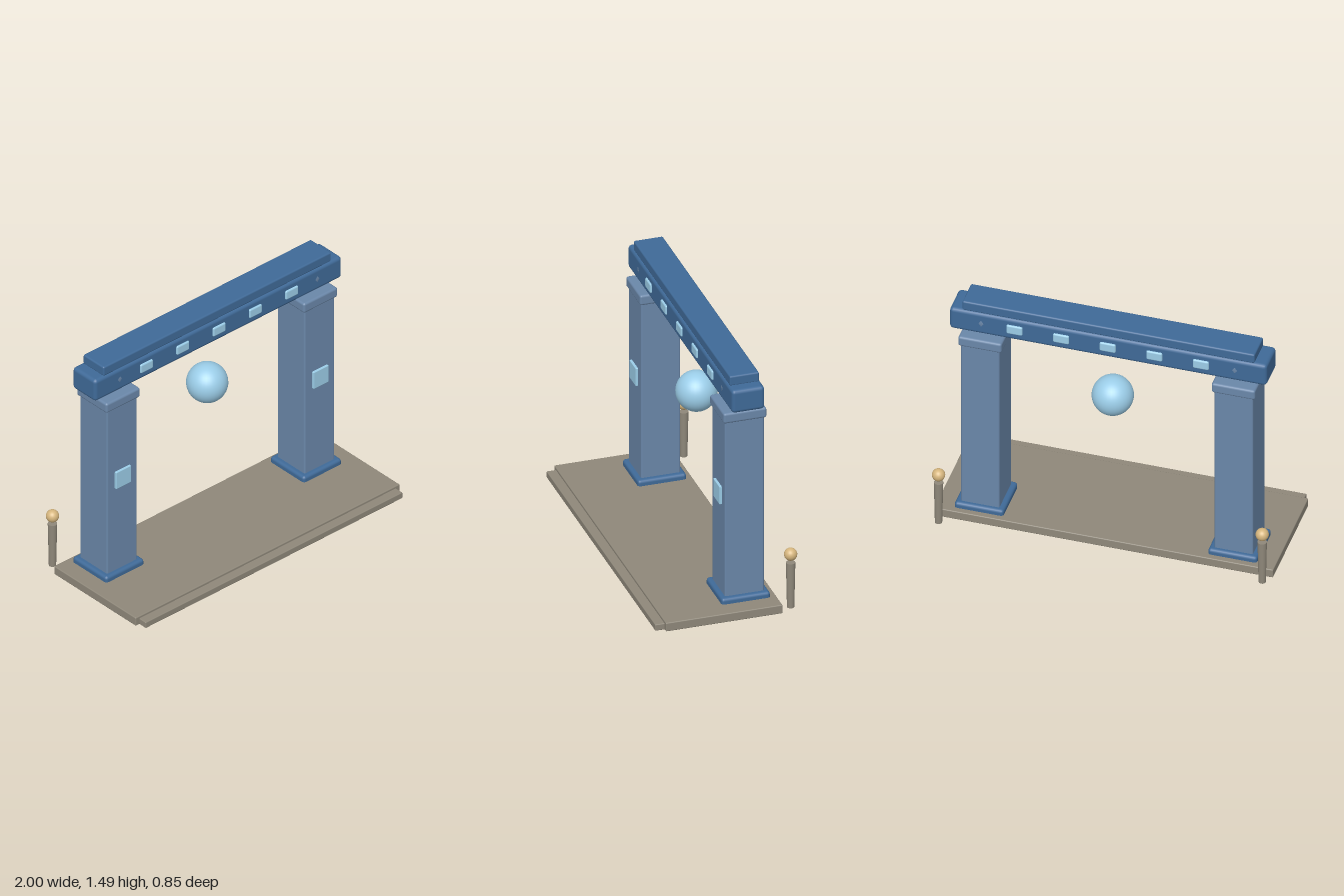
import * as THREE from 'three';
import { RoundedBoxGeometry } from 'three/addons/geometries/RoundedBoxGeometry.js';

const paint = (color) => new THREE.MeshStandardMaterial({ color });

export function createModel() {
  const model = new THREE.Group();
  const stone = paint(0x8f887a), slate = paint(0x6a87a9), navy = paint(0x3f6a98);
  const glow = paint(0x9bcde8), brass = paint(0xd6b67e);
  const axis = -0.147; // depth of the arch centre line

  const add = (name, geometry, material, x, y, z) => {
    const mesh = new THREE.Mesh(geometry, material);
    mesh.name = name;
    mesh.position.set(x, y, z);
    model.add(mesh);
  };
  // Soft-edged block standing on y0 and reaching y1
  const block = (name, material, w, y0, y1, d, x, z, r) =>
    add(name, new RoundedBoxGeometry(w, y1 - y0, d, 2, r), material, x, (y0 + y1) / 2, z);

  // Platform with a low front step
  block('platform', stone, 2, 0, 0.055, 0.695, 0, 0.0195, 0.006);
  block('frontStep', stone, 1.945, 0, 0.04, 0.085, 0, 0.3795, 0.005);

  for (const [side, s] of [['left', 1], ['right', -1]]) {
    // Pillar with plinth, capital, inlaid tile and ball bearing under the beam
    const x = 0.748 * s;
    block(side + 'Plinth', navy, 0.29, 0.02, 0.09, 0.29, x, axis, 0.018);
    block(side + 'Pillar', slate, 0.228, 0.05, 1.21, 0.234, x, axis, 0.01);
    block(side + 'Capital', slate, 0.257, 1.2, 1.265, 0.257, x, axis, 0.014);
    block(side + 'PillarTile', glow, 0.114, 0.65, 0.765, 0.03, x, -0.031, 0.005);
    add(side + 'Bearing', new THREE.SphereGeometry(0.1, 24, 16), slate, x, 1.365, axis);

    // Lamp post behind the platform
    add(side + 'Post', new THREE.CylinderGeometry(0.027, 0.021, 0.285, 16), stone, 0.955 * s, 0.1525, -0.39);
    add(side + 'PostBall', new THREE.SphereGeometry(0.038, 24, 16), brass, 0.955 * s, 0.347, -0.39);
  }

  // Lintel and its top rail
  block('lintel', navy, 1.872, 1.29, 1.435, 0.196, 0, axis, 0.022);
  block('topRail', navy, 1.725, 1.43, 1.492, 0.175, 0, axis, 0.01);

  // Glowing inlays passing through the lintel
  for (let i = -2; i <= 2; i++)
    block('lintelInlay', glow, 0.095, 1.335, 1.395, 0.217, i * 0.275, axis, 0.01);

  // Floating orb in the gateway
  add('orb', new THREE.SphereGeometry(0.12, 32, 24), glow, 0, 0.952, axis);

  return model;
}
